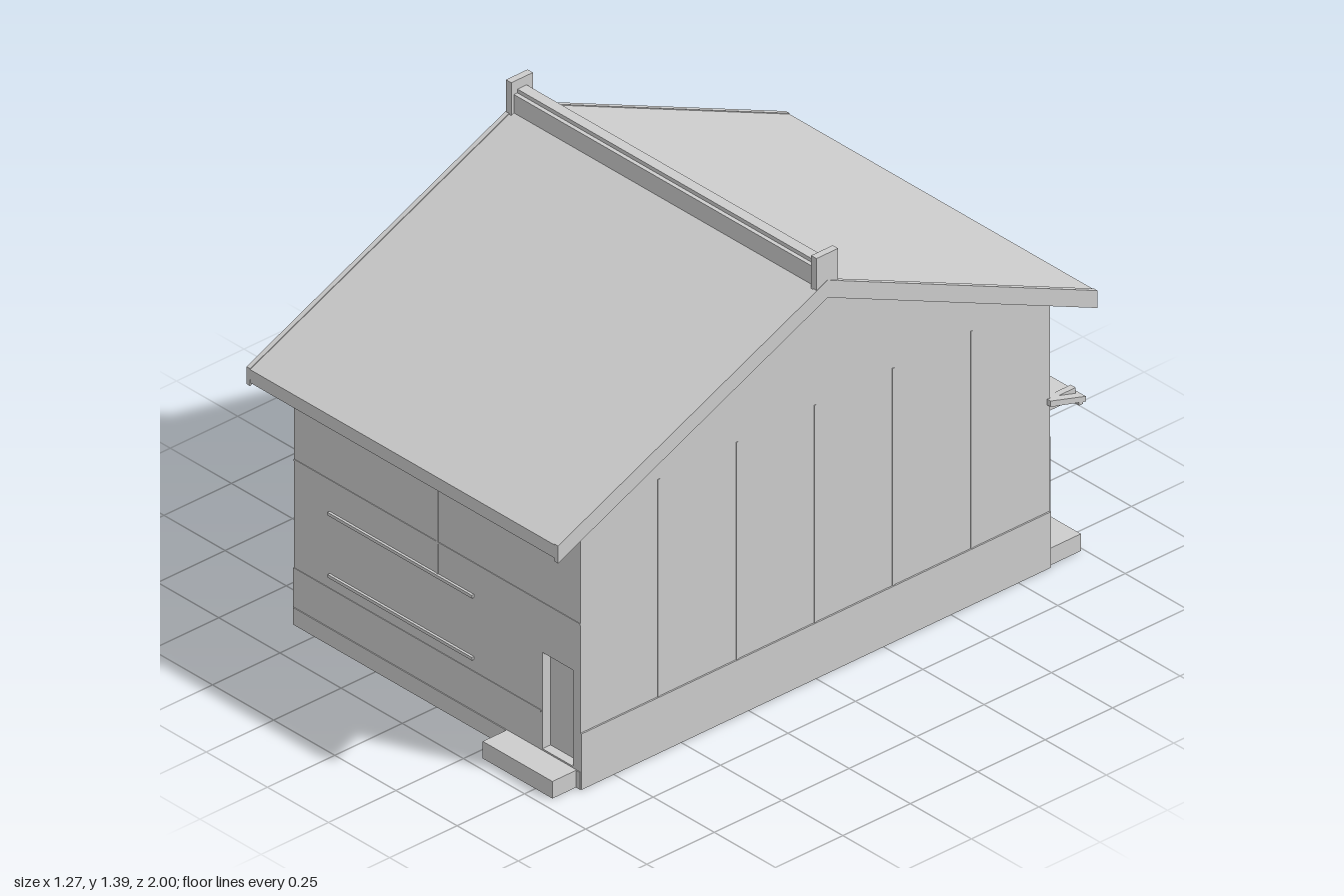
import * as THREE from 'three';

const gray = new THREE.MeshStandardMaterial({ color: 0xcccccc });
gray.name = 'plainGray';

export function createModel() {
  const house = new THREE.Group();
  house.name = 'house';

  const add = (name, geometry) => {
    const mesh = new THREE.Mesh(geometry, gray);
    mesh.name = name;
    house.add(mesh);
  };
  // Box given by its limits on each axis
  const box = (name, x0, x1, y0, y1, z0, z1) => add(name,
    new THREE.BoxGeometry(x1 - x0, y1 - y0, z1 - z0)
      .translate((x0 + x1) / 2, (y0 + y1) / 2, (z0 + z1) / 2));
  const toShape = (points) => new THREE.Shape(points.map(([a, b]) => new THREE.Vector2(a, b)));
  // Side profile of [z, y] points, extruded from x0 to x1
  const profile = (name, points, x0, x1) => add(name,
    new THREE.ExtrudeGeometry(toShape(points), { depth: x1 - x0, bevelEnabled: false })
      .rotateY(-Math.PI / 2).translate(x1, 0, 0));
  const rect = (x0, x1, y0, y1) => [[x0, y0], [x1, y0], [x1, y1], [x0, y1]];
  // Outer wall with openings, 0.03 deep
  const facade = (name, openings, z0) => {
    const shape = toShape(rect(-0.585, 0.585, 0, 0.862));
    for (const o of openings) shape.holes.push(toShape(rect(...o)));
    add(name, new THREE.ExtrudeGeometry(shape, { depth: 0.03, bevelEnabled: false }).translate(0, 0, z0));
  };

  // Body with gables, and the front and back walls
  profile('body', [[-0.84, 0], [0.84, 0], [0.84, 0.876], [0, 1.25], [-0.84, 0.876]], -0.585, 0.585);
  facade('frontWall', [[0.43, 0.555, 0.06, 0.37]], 0.84);
  const windows = [[0.305, 0.435], [0.02, 0.29], [-0.265, 0.005], [-0.55, -0.28]];
  facade('backWall', [[0.45, 0.565, 0.06, 0.4], ...windows.map(([a, b]) => [a, b, 0.18, 0.4])], -0.87);

  // Plinth, seams and posts on the side walls
  for (const s of [-1, 1]) {
    const side = (name, d, y0, y1, z0, z1) =>
      box(name, s < 0 ? -0.585 - d : 0.58, s < 0 ? -0.58 : 0.585 + d, y0, y1, z0, z1);
    side('sidePlinth', 0.005, 0, 0.18, -0.87, 0.87);
    for (let i = -2; i <= 2; i++) {
      side('sidePost', 0.002, 0.18, 0.88, i * 0.29 - 0.004, i * 0.29 + 0.004);
    }
    box('groundSill', -0.587, 0.587, 0, 0.055, s < 0 ? -0.873 : 0.86, s < 0 ? -0.86 : 0.873);
  }

  // Front wall trim
  for (const y of [0.225, 0.425]) box('frontRail', -0.44, 0.15, y - 0.005, y + 0.005, 0.865, 0.878);
  box('frontSeam', -0.585, 0.585, 0.527, 0.533, 0.865, 0.872);
  box('frontSeam', -0.585, 0.425, 0.177, 0.183, 0.865, 0.872);
  box('frontPost', -0.004, 0.004, 0.43, 0.86, 0.865, 0.872);
  box('frontStep', 0.285, 0.57, 0, 0.055, 0.86, 0.96);

  // Back step, door frame and lattice windows
  box('backStep', 0.22, 0.58, 0, 0.055, -0.99, -0.86);
  for (const x of [0.573, 0.4425, 0.2975, 0.0125, -0.2725, -0.558]) {
    box('backPost', x - 0.007, x + 0.007, x > 0.4 ? 0.055 : 0.18, 0.4, -0.877, -0.86);
  }
  box('backLintel', -0.57, 0.58, 0.4, 0.415, -0.877, -0.86);
  box('windowSill', -0.57, 0.44, 0.17, 0.182, -0.877, -0.86);
  for (const [a, b] of windows) {
    const n = Math.round((b - a) / 0.019);
    for (let i = 0; i < n; i++) {
      const x = a + ((i + 0.5) * (b - a)) / n;
      box('latticeBar', x - 0.005, x + 0.005, 0.18, 0.4, -0.866, -0.85);
    }
  }

  // Upper back shutters and centre post
  box('shutter', -0.09, 0.23, 0.6, 0.855, -0.874, -0.865);
  box('shutter', -0.5, -0.18, 0.6, 0.855, -0.874, -0.865);
  box('backUpperPost', -0.004, 0.004, 0.54, 0.86, -0.876, -0.865);

  // Awning over the back entrance, with its arms
  profile('awning', [[-0.86, 0.545], [-0.99, 0.507], [-0.99, 0.49], [-0.86, 0.526]], -0.585, 0.6);
  box('awningBeam', -0.585, 0.6, 0.487, 0.5, -0.98, -0.965);
  for (const x of [0.565, 0.03, -0.51]) {
    box('awningArm', x - 0.01, x + 0.01, 0.495, 0.53, -0.975, -0.86);
  }

  // Roof slab and the thicker boards at its gable ends
  const roofY = (z) => 1.305 - 0.445 * Math.abs(z);
  const chevron = (top, thick) => [[-1, 0], [0, 0], [1, 0]].map(([z]) => [z, roofY(z) + top])
    .concat([1, 0, -1].map((z) => [z, roofY(z) - thick]));
  profile('roof', chevron(-0.003, 0.035), -0.63, 0.63);
  for (const s of [-1, 1]) {
    profile('bargeBoard', chevron(0, 0.056), s < 0 ? -0.637 : 0.622, s < 0 ? -0.622 : 0.637);
  }

  // Eave boards and rafters
  for (const s of [-1, 1]) {
    box('eaveBoard', -0.625, 0.625, 0.813, 0.85, s < 0 ? -0.998 : 0.982, s < 0 ? -0.982 : 0.998);
    for (let i = 0; i < 18; i++) {
      const x = -0.612 + i * 0.072;
      const points = [[0.84, 0.03], [0.985, 0.03], [0.985, 0.054], [0.84, 0.054]]
        .map(([z, drop]) => [s * z, roofY(z) - drop]);
      profile('rafter', points, x - 0.011, x + 0.011);
    }
  }

  // Ridge with a stepped cap and end blocks
  box('ridge', -0.615, 0.615, 1.27, 1.348, -0.03, 0.03);
  box('ridgeCap', -0.615, 0.615, 1.348, 1.36, -0.017, 0.017);
  for (const s of [-1, 1]) {
    box('ridgeEnd', s < 0 ? -0.635 : 0.613, s < 0 ? -0.613 : 0.635, 1.275, 1.39, -0.04, 0.04);
  }
  return house;
}
